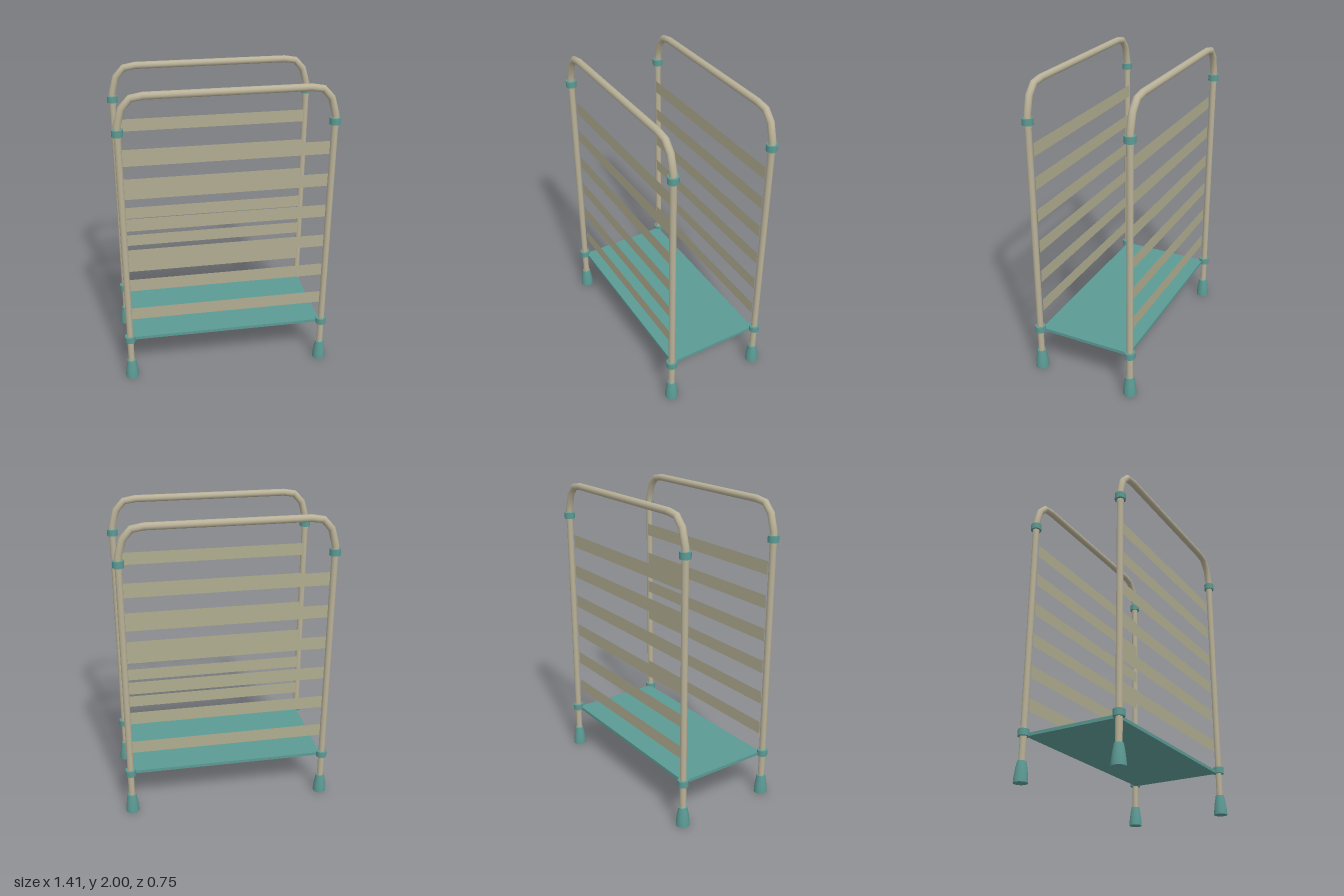
import * as THREE from 'three';

const POST_X = 0.66, POST_Z = 0.331;

// Straight-segment path with mitred corners, one sample per point
class Polyline extends THREE.Curve {
  constructor(points) { super(); this.points = points; }
  getPoint(t) {
    const n = this.points.length - 1, f = t * n, i = Math.min(Math.floor(f), n - 1);
    return this.points[i].clone().lerp(this.points[i + 1], f - i);
  }
  getPointAt(t) { return this.getPoint(t); }
  getTangentAt(t) {
    const n = this.points.length - 1, i = Math.round(t * n), p = this.points;
    const dir = (a) => p[a + 1].clone().sub(p[a]).normalize();
    return dir(Math.max(i - 1, 0)).add(dir(Math.min(i, n - 1))).normalize();
  }
}

export function createModel() {
  const model = new THREE.Group();
  const metal = new THREE.MeshStandardMaterial({ color: 0xb8b097 });
  const slatMat = new THREE.MeshStandardMaterial({ color: 0xb0ac90, side: THREE.DoubleSide });
  const teal = new THREE.MeshStandardMaterial({ color: 0x5c9a94 });

  const add = (parent, name, geometry, material, x = 0, y = 0, z = 0) => {
    const mesh = new THREE.Mesh(geometry, material);
    mesh.name = name;
    mesh.position.set(x, y, z);
    parent.add(mesh);
  };

  const postGeo = new THREE.CylinderGeometry(0.021, 0.021, 1.72, 16);
  const collarGeo = new THREE.CylinderGeometry(0.035, 0.035, 0.042, 20);
  const footGeo = new THREE.LatheGeometry(
    [[0, 0], [0.044, 0], [0.044, 0], [0.043, 0.03], [0.037, 0.08], [0.028, 0.13], [0.028, 0.13], [0, 0.13]]
      .map(([r, y]) => new THREE.Vector2(r, y)), 20);
  const slatGeo = new THREE.PlaneGeometry(1.29, 0.086);

  // Arched handle: half the outline, mirrored
  const half = [[0.66, 1.72], [0.66, 1.8], [0.628, 1.908], [0.575, 1.965], [0.5, 1.977]];
  const outline = [...half, ...half.map(([x, y]) => [-x, y]).reverse()]
    .map(([x, y]) => new THREE.Vector3(x, y, 0));
  const handleGeo = new THREE.TubeGeometry(new Polyline(outline), outline.length - 1, 0.023, 14);

  // Two identical end frames, front and back
  for (const side of [1, -1]) {
    const frame = new THREE.Group();
    frame.name = side > 0 ? 'frontFrame' : 'backFrame';
    frame.position.z = side * POST_Z;
    model.add(frame);

    for (const x of [POST_X, -POST_X]) {
      add(frame, 'post', postGeo, metal, x, 0.9);
      add(frame, 'foot', footGeo, teal, x);
      add(frame, 'lowerCollar', collarGeo, teal, x, 0.304);
      add(frame, 'upperCollar', collarGeo, teal, x, 1.76);
    }
    add(frame, 'handle', handleGeo, metal);

    // Thin slats set on the inner side of the posts
    for (let i = 0; i < 6; i++) {
      add(frame, 'slat', slatGeo, slatMat, 0, 0.483 + i * 0.219, -side * 0.022);
    }
  }

  // Bottom shelf
  add(model, 'shelf', new THREE.BoxGeometry(1.3, 0.021, 0.64), teal, 0, 0.294, 0);
  return model;
}
